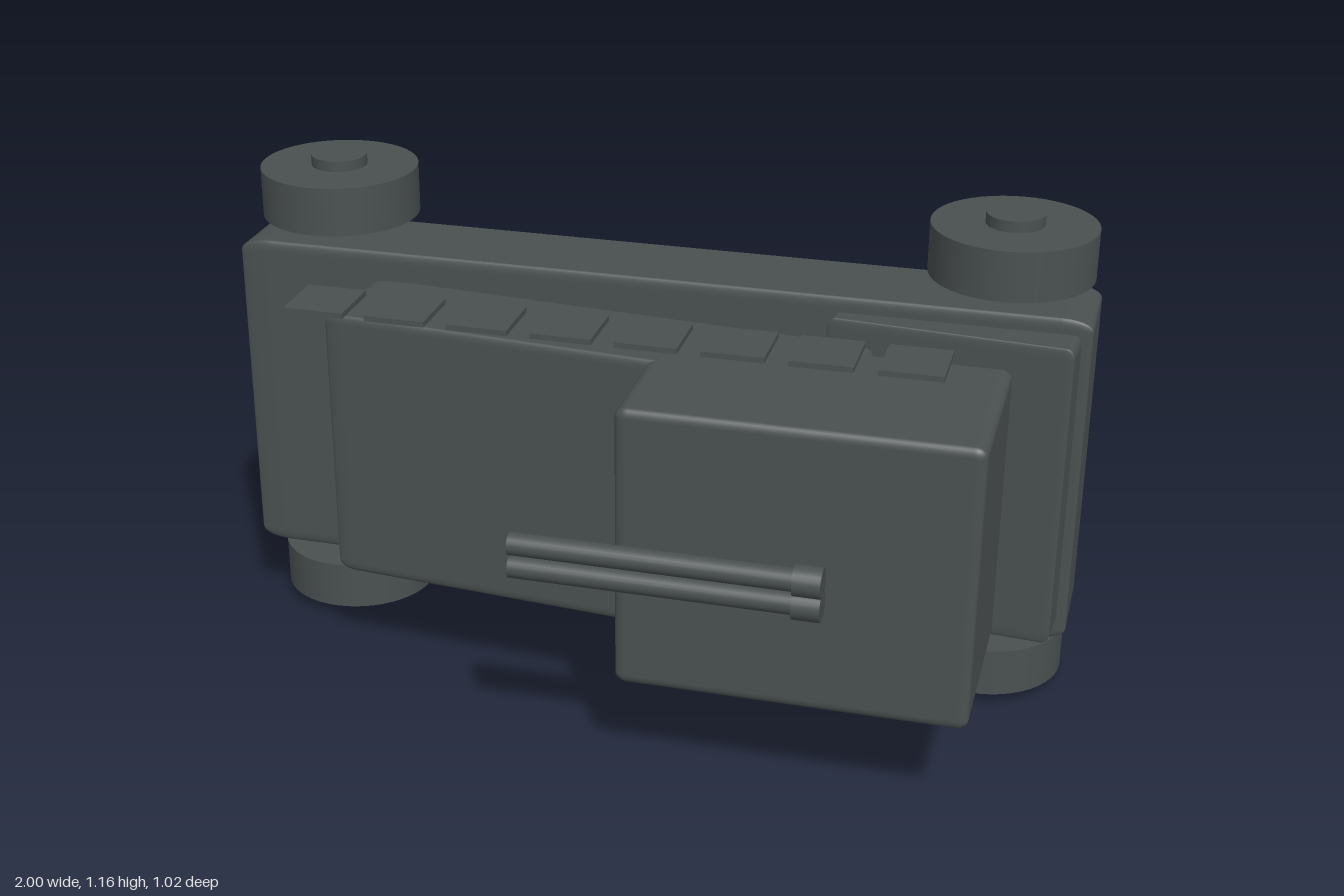
import * as THREE from 'three';
import { RoundedBoxGeometry } from 'three/addons/geometries/RoundedBoxGeometry.js';

export function createModel() {
  const group = new THREE.Group();
  const paint = new THREE.MeshStandardMaterial({ color: 0x4a5050 });
  paint.name = 'dark grey';

  const add = (name, geometry, x, y, z) => {
    const mesh = new THREE.Mesh(geometry, paint);
    mesh.name = name;
    mesh.position.set(x, y, z);
    group.add(mesh);
    return mesh;
  };

  // Rounded blocks share one unit cube, stretched to size and tilted about y
  const cube = new RoundedBoxGeometry(1, 1, 1, 4, 0.035);
  const block = (name, size, pos, tilt = 0) => {
    const mesh = add(name, cube, ...pos);
    mesh.scale.set(...size);
    mesh.rotation.y = tilt;
  };
  block('hull', [2, 0.795, 0.23], [0, 0.578, -0.28]);
  block('upperBody', [1.22, 0.655, 0.25], [-0.08, 0.578, -0.007], -0.087);
  block('sidePanel', [0.55, 0.725, 0.12], [0.7, 0.578, -0.163], -0.087);
  block('cabin', [0.77, 0.655, 0.427], [0.46, 0.578, 0.182]);

  // Wheels with a hub on the outer face
  for (const x of [-0.8, 0.8]) {
    for (const side of [-1, 1]) {
      add('wheel', new THREE.CylinderGeometry(0.187, 0.187, 0.116, 48), x, 0.578 + side * 0.493, -0.322);
      add('hub', new THREE.CylinderGeometry(0.066, 0.066, 0.026, 32), x, 0.578 + side * 0.5645, -0.322);
    }
  }

  // Twin tubes with thicker end collars
  for (const y of [0.551, 0.605]) {
    add('tube', new THREE.CylinderGeometry(0.025, 0.025, 0.62, 24), 0.18, y, 0.474).rotation.z = Math.PI / 2;
    add('tubeCollar', new THREE.CylinderGeometry(0.034, 0.034, 0.06, 24), 0.51, y, 0.474).rotation.z = Math.PI / 2;
  }

  // Row of plates along one side
  for (let i = 0; i < 8; i++) {
    add('sidePlate', new THREE.BoxGeometry(0.14, 0.013, 0.148), -0.695 + i * 0.192, 0.932, 0.056);
  }

  // Small plates on the opposite side, next to the hull
  for (const x of [-0.365, -0.12, 0.1, 0.305, 0.49]) {
    add('lowerPlate', new THREE.BoxGeometry(0.13, 0.012, 0.1), x, 0.25, -0.09);
  }
  // Short pins against the hull
  for (const x of [-0.34, -0.1, 0.12, 0.36]) {
    add('pin', new THREE.BoxGeometry(0.022, 0.012, 0.03), x, 0.25, -0.163);
  }

  return group;
}
